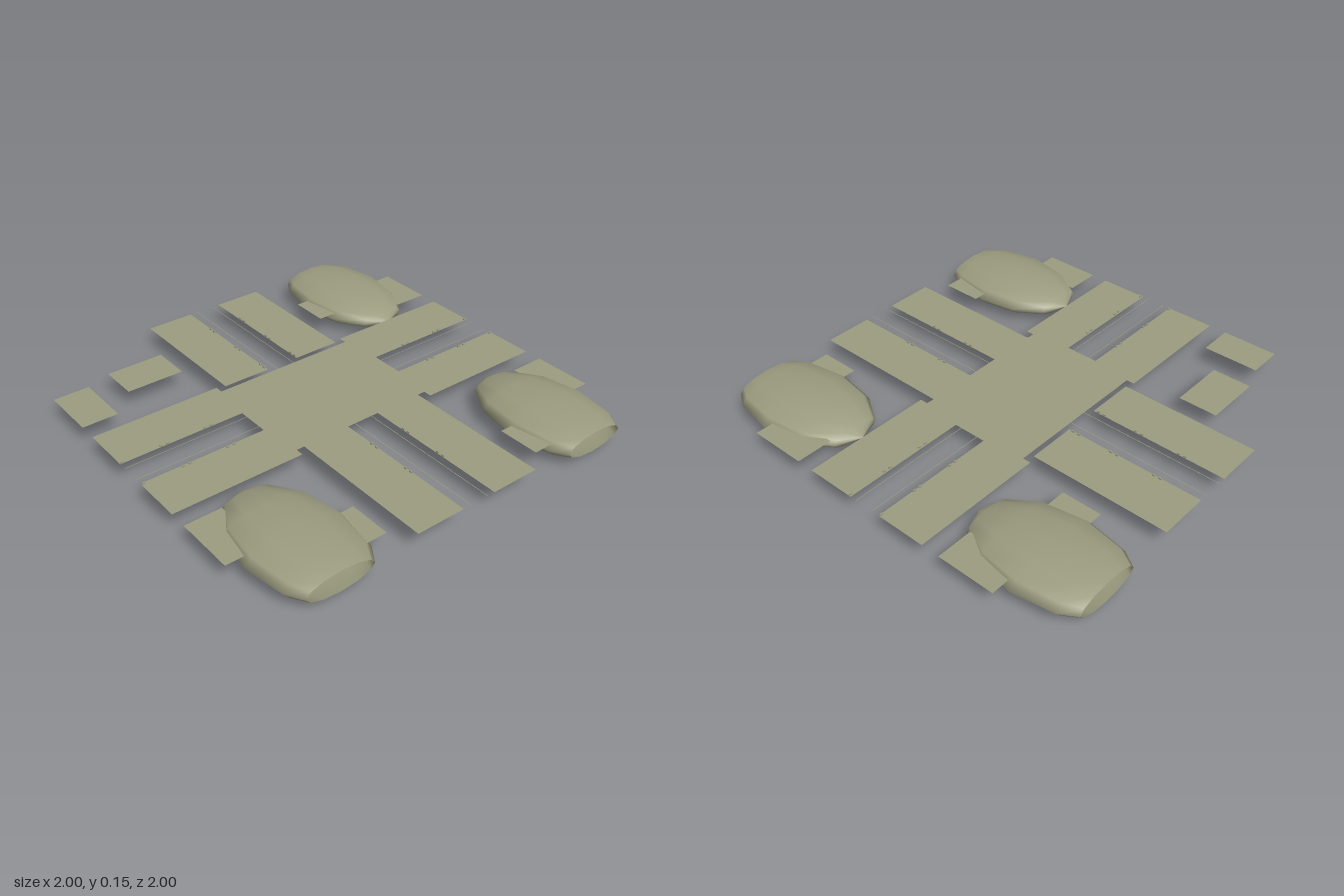
import * as THREE from 'three';

const material = new THREE.MeshStandardMaterial({ color: 0x9c9c80, side: THREE.DoubleSide });
const DECK_Y = 0.107;

export function createModel() {
  const group = new THREE.Group();
  const add = (name, geometry, x = 0, y = 0, z = 0) => {
    const mesh = new THREE.Mesh(geometry, material);
    mesh.name = name;
    mesh.position.set(x, y, z);
    group.add(mesh);
    return mesh;
  };
  // Flat sheet given by its edges
  const sheet = (name, x0, x1, z0, z1) => add(name,
    new THREE.PlaneGeometry(Math.abs(x1 - x0), z1 - z0).rotateX(-Math.PI / 2),
    (x0 + x1) / 2, DECK_Y, (z0 + z1) / 2);

  // Crossing with short lips into the side arms
  sheet('crossing', -0.365, 0.365, -0.29, 0.285);
  for (const s of [-1, 1]) {
    sheet('crossingLip', s * 0.365, s * 0.39, -0.085, 0.08);
    // Pavements along the four arms
    sheet('backPavement', s * 0.085, s * 0.325, -1, -0.315);
    sheet('frontPavement', s * 0.085, s * 0.325, 0.285, 1);
    sheet('sidePavementBack', s * 0.365, s, -0.33, -0.085);
    sheet('sidePavementFront', s * 0.365, s, 0.08, 0.325);
    // Small plots in the four corners
    sheet('backOuterPlot', s * 0.825, s, -0.7, -0.42);
    sheet('backInnerPlot', s * 0.415, s * 0.7, -0.745, -0.55);
    sheet('frontOuterPlot', s * 0.825, s, 0.41, 0.695);
    sheet('frontInnerPlot', s * 0.415, s * 0.7, 0.72, 0.92);
  }

  // Open-ended ellipsoid mounds, cut off at the outer edge
  const profile = [0, 1, 2, 3, 4].map((i) => {
    const a = (i * Math.PI) / 6;
    return new THREE.Vector2(0.24 * Math.sin(a), -0.385 * Math.cos(a));
  });
  profile.push(new THREE.Vector2(0.16, 0.27));
  for (const [sx, sz] of [[-1, 1], [1, 1], [1, -1]]) {
    const shell = new THREE.LatheGeometry(profile, 12, Math.PI / 2);
    shell.rotateX(Math.PI / 2).scale(1, 0.0765 / 0.24, 1);
    if (sz < 0) shell.rotateY(Math.PI);
    add('mound', shell, sx * 0.7, 0.084, sz * 0.73);
  }

  // Thin lane lines, turning the corner in each quadrant
  const near = 0.045, far = 0.048, bend = 0.075;
  const line = new THREE.Shape();
  line.moveTo(near, 1);
  line.lineTo(near, bend);
  line.quadraticCurveTo(near, near, bend, near);
  line.lineTo(1, near);
  line.lineTo(1, far);
  line.lineTo(bend, far);
  line.quadraticCurveTo(far, far, far, bend);
  line.lineTo(far, 1);
  const lineGeometry = new THREE.ShapeGeometry(line, 6).rotateX(-Math.PI / 2);
  for (let i = 0; i < 4; i++) {
    add('laneLine', lineGeometry, 0, DECK_Y + 0.0008, 0).rotation.y = (i * Math.PI) / 2;
  }

  // Tiny paired blocks along the pavement edges
  const blocks = (x, z, alongX) => {
    for (const d of [-0.016, 0.016]) {
      const size = alongX ? [0.014, 0.007, 0.007] : [0.007, 0.007, 0.014];
      add('kerbBlock', new THREE.BoxGeometry(...size),
        x + (alongX ? d : 0), DECK_Y + 0.0035, z + (alongX ? 0 : d));
    }
  };
  for (const s of [-1, 1]) {
    for (const z of [-0.785, -0.56, -0.355, 0.465, 0.68]) blocks(s * 0.09, z, false);
    for (const x of [-0.785, -0.565, 0.585, 0.79]) blocks(x, s * 0.09, true);
    for (const z of [-0.09, 0.09]) add('endBlock', new THREE.BoxGeometry(0.014, 0.007, 0.007), s * 0.99, DECK_Y + 0.0035, z);
  }
  return group;
}
